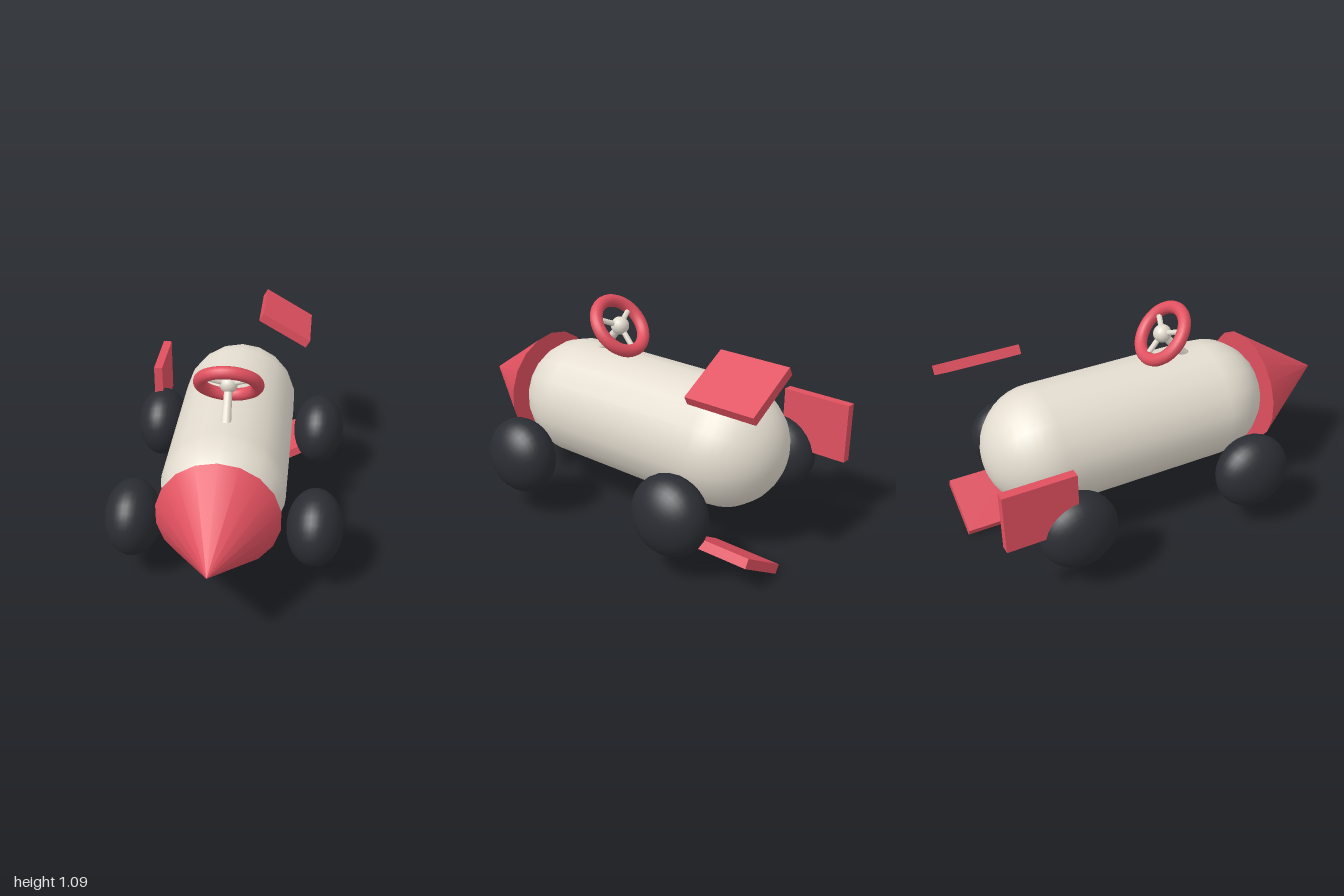
import * as THREE from 'three';

const cream = new THREE.MeshStandardMaterial({ color: 0xe3dccf });
const red = new THREE.MeshStandardMaterial({ color: 0xe0505f });
const black = new THREE.MeshStandardMaterial({ color: 0x2a2d33 });

const AXIS_Y = 0.509; // height of the body's long axis

export function createModel() {
  const model = new THREE.Group();
  model.name = 'rocketCar';

  const add = (name, geometry, material, x = 0, y = 0, z = 0, parent = model) => {
    const mesh = new THREE.Mesh(geometry, material);
    mesh.name = name;
    mesh.position.set(x, y, z);
    parent.add(mesh);
    return mesh;
  };

  // Capsule body lying along z, with a corner of its 18 sides on top
  const body = new THREE.CapsuleGeometry(0.309, 0.905, 10, 18);
  body.rotateY(Math.PI / 2).rotateX(Math.PI / 2);
  add('body', body, cream, 0, AXIS_Y, -0.15);

  // Nose cone
  const nose = new THREE.ConeGeometry(0.299, 0.445, 18).rotateX(Math.PI / 2);
  add('noseCone', nose, red, 0, AXIS_Y, 0.7775);

  // Flattened ball wheels
  const tyre = new THREE.SphereGeometry(0.195, 28, 20);
  tyre.rotateZ(Math.PI / 2).scale(0.72, 1, 1);
  for (const [end, z] of [['front', 0.326], ['rear', -0.634]]) {
    for (const [side, s] of [['Left', 1], ['Right', -1]]) {
      add(`${end}${side}Wheel`, tyre, black, s * 0.454, 0.317, z);
    }
  }

  // Three tail fins spaced around the body axis
  const finShape = new THREE.BoxGeometry(0.047, 0.3, 0.357);
  for (let i = 0; i < 3; i++) {
    const a = Math.PI / 3 + (i * Math.PI * 2) / 3;
    const fin = add(`tailFin${i + 1}`, finShape, red,
      0.477 * Math.cos(a), AXIS_Y + 0.477 * Math.sin(a), -0.8215);
    fin.rotation.z = a;
  }

  // Steering column, tapering from the body up to the hub
  const base = new THREE.Vector3(0, 0.79, 0.2);
  const top = new THREE.Vector3(0, 0.945, 0.062);
  const dir = top.clone().sub(base);
  const column = add('steeringColumn',
    new THREE.CylinderGeometry(0.019, 0.026, dir.length(), 14), cream);
  column.position.copy(base).lerp(top, 0.5);
  column.quaternion.setFromUnitVectors(new THREE.Vector3(0, 1, 0), dir.normalize());

  // Tilted steering wheel: rim, hub and three spokes
  const steering = new THREE.Group();
  steering.name = 'steeringWheel';
  steering.position.set(0, 0.952, 0.061);
  steering.rotation.x = 0.71;
  model.add(steering);
  add('rim', new THREE.TorusGeometry(0.143, 0.032, 14, 40), red, 0, 0, 0, steering);
  add('hub', new THREE.SphereGeometry(0.046, 18, 12), cream, 0, 0, 0, steering);
  const spokeShape = new THREE.CylinderGeometry(0.014, 0.014, 0.14, 8).translate(0, 0.07, 0);
  for (let i = 0; i < 3; i++) {
    const spoke = add(`spoke${i + 1}`, spokeShape, cream, 0, 0, 0, steering);
    spoke.rotation.z = Math.PI / 3 + (i * Math.PI * 2) / 3;
  }

  return model;
}
